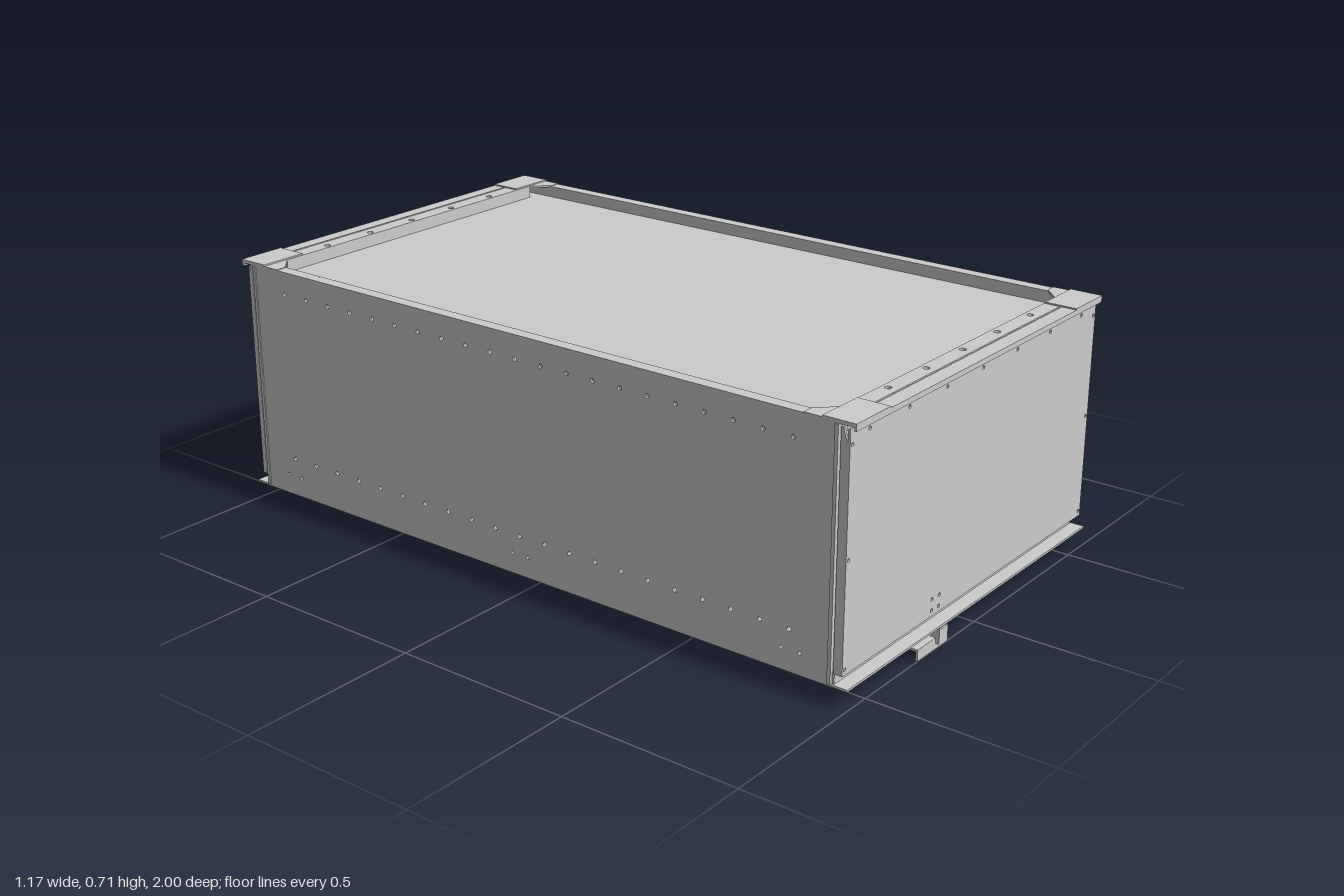
import * as THREE from 'three';

const T = 0.006; // sheet thickness

export function createModel() {
  const root = new THREE.Group();
  const mat = new THREE.MeshStandardMaterial({ color: 0xcccccc, side: THREE.DoubleSide, flatShading: true });

  const add = (name, geo, parent = root) => {
    const m = new THREE.Mesh(geo, mat);
    m.name = name;
    parent.add(m);
    return m;
  };
  // box given by its limits on each axis
  const box = (name, x0, x1, y0, y1, z0, z1, parent = root) => {
    const m = add(name, new THREE.BoxGeometry(x1 - x0, y1 - y0, z1 - z0), parent);
    m.position.set((x0 + x1) / 2, (y0 + y1) / 2, (z0 + z1) / 2);
    return m;
  };
  // flat sheet from an outline, with round holes [x, y, radius]
  const sheet = (points, holes = []) => {
    const s = new THREE.Shape(points.map(p => new THREE.Vector2(...p)));
    for (const [x, y, r] of holes) s.holes.push(new THREE.Path().absarc(x, y, r, 0, Math.PI * 2, true));
    return new THREE.ExtrudeGeometry(s, { depth: T, bevelEnabled: false, curveSegments: 8 });
  };
  const rect = (x0, x1, y0, y1) => [[x0, y0], [x1, y0], [x1, y1], [x0, y1]];

  // Side walls with rows of fixing holes
  const sideHoles = [];
  for (let i = -10; i <= 10; i++) {
    sideHoles.push([i * 0.0835, 0.16, 0.006]);
    sideHoles.push([i * 0.0835, 0.64, 0.006]);
  }
  for (const z of [-0.84, 0, 0.84])
    for (const dz of [-0.026, 0.026]) sideHoles.push([z + dz, 0.107, 0.005]);
  for (const s of [-1, 1]) {
    const side = new THREE.Group();
    side.name = s > 0 ? 'leftSide' : 'rightSide';
    root.add(side);
    const wall = add('sideWall', sheet(rect(-0.955, 0.955, 0.05, 0.704), sideHoles), side);
    wall.rotation.y = -Math.PI / 2;
    wall.position.x = s > 0 ? 0.58 : -0.58 + T;
    const edge = (name, a, b, y0, y1, z0, z1) =>
      box(name, Math.min(s * a, s * b), Math.max(s * a, s * b), y0, y1, z0, z1, side);
    edge('topFlange', 0.55, 0.58, 0.698, 0.704, -0.955, 0.955);
    edge('topLip', 0.545, 0.551, 0.66, 0.704, -0.955, 0.955);
    edge('bottomFlange', 0.55, 0.58, 0.05, 0.056, -0.955, 0.955);
    for (const e of [-1, 1]) {
      const za = e * 0.945, zb = e * 0.955;
      edge('cornerFlange', 0.545, 0.583, 0.056, 0.7, Math.min(za, zb), Math.max(za, zb));
    }
  }

  // End walls: panel, folded returns, top and bottom lips
  for (const s of [-1, 1]) {
    const end = new THREE.Group();
    end.name = s > 0 ? 'frontEnd' : 'backEnd';
    root.add(end);
    const face = s > 0 ? 0.985 : 0.975;
    const holes = [];
    for (const x of [-0.57, 0.57]) for (const y of [0.1, 0.375, 0.655]) holes.push([x, y, 0.005]);
    for (const x of [-0.188, -0.155]) for (const y of [0.1, 0.13]) holes.push([x, y, 0.005]);
    for (let i = -3; i <= 3; i++) holes.push([i * 0.167, 0.673, 0.005]);
    const panel = add('endPanel', sheet(rect(-0.58, 0.58, 0.085, 0.695), holes), end);
    panel.position.z = s > 0 ? face - T : -face;
    const edge = (name, x0, x1, y0, y1, a, b) =>
      box(name, x0, x1, y0, y1, Math.min(s * a, s * b), Math.max(s * a, s * b), end);

    // side returns, with a cut top corner
    for (const x of [-0.58, 0.58 - T]) {
      const r = add('sideReturn', sheet([
        [s * 0.96, 0.085], [s * face, 0.085], [s * face, 0.64], [s * 0.967, 0.695], [s * 0.96, 0.695],
      ]), end);
      r.rotation.y = -Math.PI / 2;
      r.position.x = x + T;
    }
    edge('bottomReturn', -0.57, 0.57, 0.085, 0.091, 0.955, face);
    edge('bottomWeb', -0.575, 0.575, 0.05, 0.088, 0.955, 0.961);
    edge('bottomFlange', -0.58, 0.58, 0.05, 0.056, 0.925, 1);
    edge('topLip', -0.58, 0.58, 0.692, 0.706, 0.994, 1);
    edge('innerLip', -0.5, 0.5, 0.66, 0.704, 0.907, 0.913);
    edge('topSeam', -0.45, 0.45, 0.705, 0.708, 0.953, 0.958);
    // raised plates on the two top corners
    for (const c of [-1, 1])
      edge('cornerPlate', c > 0 ? 0.44 : -0.58, c > 0 ? 0.58 : -0.44, 0.704, 0.71, 0.91, 1);
  }

  // Top end frames with chamfered inner corners
  for (const s of [-1, 1]) {
    const holes = [];
    for (let i = -2; i <= 2; i++) holes.push([i * 0.167, -s * 0.925, 0.009]);
    for (const x of [-0.57, -0.53, 0.53, 0.57]) for (const z of [0.94, 0.985]) holes.push([x, -s * z, 0.005]);
    const frame = add('topFrame', sheet([
      [-0.58, 1], [0.58, 1], [0.58, 0.86], [0.55, 0.86], [0.5, 0.907],
      [-0.5, 0.907], [-0.55, 0.86], [-0.58, 0.86],
    ].map(([x, z]) => [x, -s * z]), holes));
    frame.rotation.x = -Math.PI / 2;
    frame.position.y = 0.7;
  }

  // Recessed roof panel and half-width floor
  box('roofPanel', -0.575, 0.575, 0.665, 0.671, -0.955, 0.955);
  box('floorPanel', -0.575, -0.15, 0.05, 0.056, -0.955, 0.955);

  // Lengthwise beam beside the open half of the floor
  const beam = new THREE.Group();
  beam.name = 'floorBeam';
  root.add(beam);
  const webHoles = [];
  for (let i = -3; i <= 3; i++) webHoles.push([i * 0.28, 0.11, 0.006]);
  const web = add('beamWeb', sheet([
    [-1, 0], [1, 0], [1, 0.045], [0.95, 0.05], [0.95, 0.17], [-0.95, 0.17], [-0.95, 0.05], [-1, 0.045],
  ], webHoles), beam);
  web.rotation.y = -Math.PI / 2;
  web.position.x = -0.13;
  box('beamBase', -0.17, -0.13, 0, T, -1, 1, beam);
  box('beamBack', -0.17, -0.164, 0, 0.05, -1, 1, beam);
  for (const s of [-1, 1]) {
    // toothless end tabs beside the beam
    const tab = add('beamEndTab', sheet([
      [-0.27, 0], [-0.17, 0], [-0.17, 0.006], [-0.187, 0.015], [-0.187, 0.031], [-0.27, 0.031],
    ]), beam);
    tab.position.z = s > 0 ? 1 - T : -1;
    box('tabFlange', -0.27, -0.187, 0.025, 0.031, s > 0 ? 0.95 : -1, s > 0 ? 1 : -0.95, beam);
    box('beamCap', -0.17, -0.13, 0, 0.045, s > 0 ? 1 - T : -1, s > 0 ? 1 : -1 + T, beam);
  }

  return root;
}
